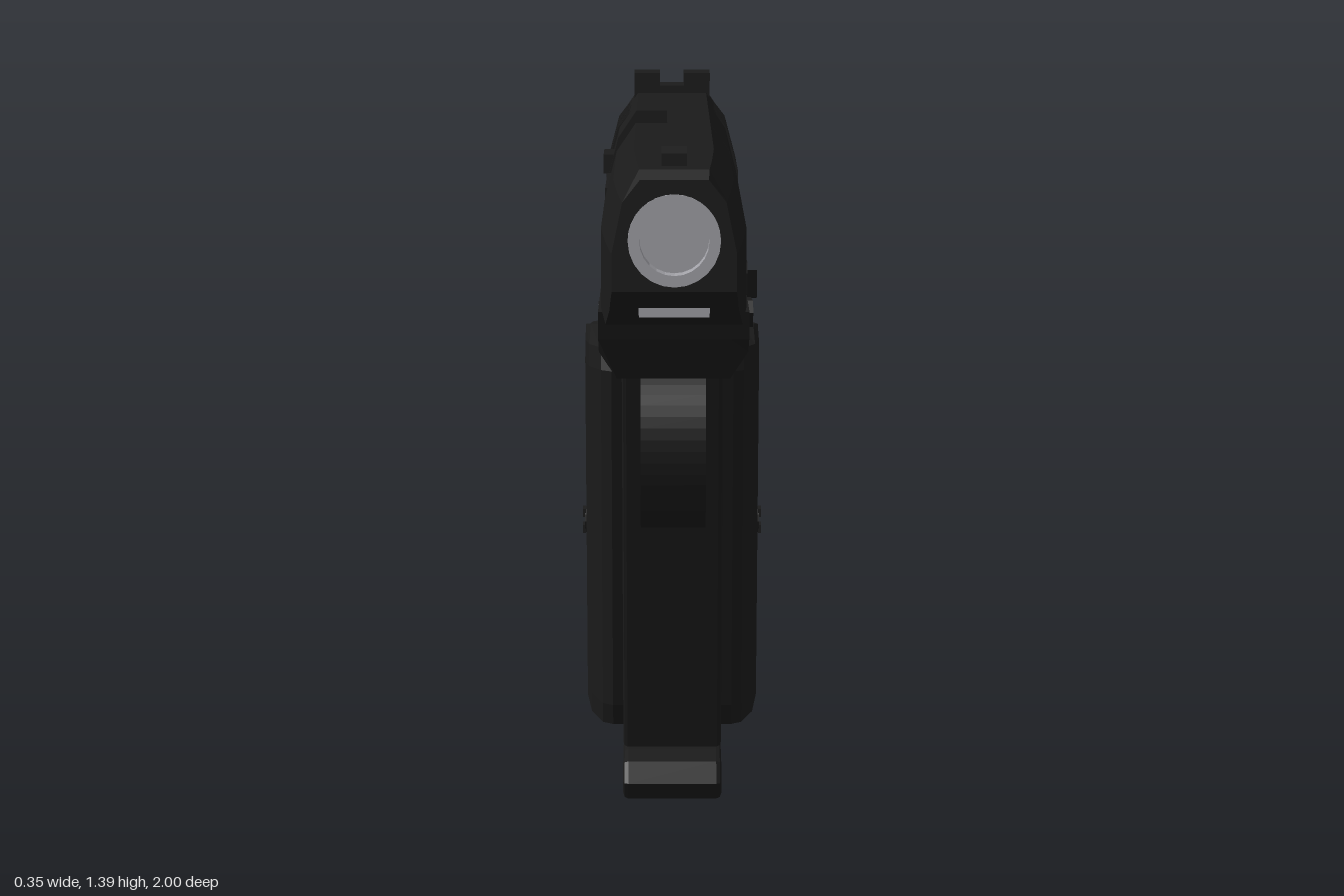
import * as THREE from 'three';

const mat = (name, color) => {
  const m = new THREE.MeshStandardMaterial({ color, flatShading: true });
  m.name = name;
  return m;
};

export function createModel() {
  const model = new THREE.Group();
  model.name = 'pistol';
  const black = mat('black metal', 0x1b1b1b);
  const steel = mat('bare steel', 0xa2a2a8);

  const add = (name, geo, m = black) => {
    const mesh = new THREE.Mesh(geo, m);
    mesh.name = name;
    model.add(mesh);
    return mesh;
  };
  const box = (name, sx, sy, sz, x, y, z) =>
    add(name, new THREE.BoxGeometry(sx, sy, sz)).position.set(x, y, z);
  const poly = pts => new THREE.Shape(pts.map(p => new THREE.Vector2(...p)));

  // side profile of [z, y] points, extruded between two x positions
  const side = (name, shape, x0, x1, bevel = 0) => {
    const geo = new THREE.ExtrudeGeometry(shape, {
      depth: x1 - x0 - 2 * bevel, curveSegments: 12, bevelEnabled: bevel > 0,
      bevelThickness: bevel, bevelSize: bevel, bevelOffset: -bevel, bevelSegments: 2,
    });
    geo.rotateY(-Math.PI / 2).translate(x1 - bevel, 0, 0);
    return add(name, geo);
  };

  // skin over convex counter-clockwise rings, with optional end cap
  const loft = (rings, capEnd = true) => {
    const n = rings[0].length, idx = [];
    for (let r = 0; r < rings.length - 1; r++)
      for (let i = 0; i < n; i++) {
        const j = (i + 1) % n, a = r * n, b = a + n;
        idx.push(a + i, a + j, b + j, a + i, b + j, b + i);
      }
    const last = (rings.length - 1) * n;
    for (let i = 1; i < n - 1; i++) {
      idx.push(0, i + 1, i);
      if (capEnd) idx.push(last, last + i, last + i + 1);
    }
    let geo = new THREE.BufferGeometry();
    geo.setAttribute('position', new THREE.Float32BufferAttribute(rings.flat(2), 3));
    geo.setIndex(idx);
    geo = geo.toNonIndexed();
    geo.computeVertexNormals();
    return geo;
  };

  // slide: rear block, port section and tapered nose
  const sec = (z, w, b, t) => [[-w, b], [w, b], [w, 1.22], [w * 0.83, 1.3], [w * 0.55, t],
    [-w * 0.55, t], [-w * 0.83, 1.3], [-w, 1.22]].map(p => [...p, z]);
  add('slideRear', loft([sec(-0.86, 0.112, 1.087, 1.32), sec(-0.81, 0.12, 1.087, 1.35),
    sec(-0.25, 0.12, 1.087, 1.35)]));
  const portShape = poly([[-0.12, 1.087], [0.12, 1.087], [0.12, 1.22], [0.1, 1.3], [0.066, 1.35],
    [-0.01, 1.35], [-0.01, 1.235], [-0.12, 1.235]]);
  add('slidePortSection', new THREE.ExtrudeGeometry(portShape, { depth: 0.3, bevelEnabled: false })
    .translate(0, 0, -0.25));
  const tip = sec(1, 0.098, 1.16, 1.335);
  add('slideNose', loft([sec(0.05, 0.12, 1.087, 1.35), sec(0.6, 0.12, 1.087, 1.35),
    sec(0.82, 0.11, 1.087, 1.35), sec(0.95, 0.102, 1.125, 1.35), sec(0.98, 0.1, 1.145, 1.35), tip],
  false));
  const face = poly(tip);
  face.holes.push(new THREE.Path().absarc(0, 1.24, 0.073, 0, Math.PI * 2, true));
  add('slideFace', new THREE.ShapeGeometry(face, 16).translate(0, 0, 1));
  box('slideRail', 0.12, 0.04, 0.28, 0, 1.085, -0.06);

  // raised grasping ribs at the rear of the slide
  for (let i = 0; i < 10; i++) {
    const z = -0.48 - i * 0.032;
    add('slideRib', loft([sec(z - 0.016, 0.124, 1.12, 1.345), sec(z, 0.124, 1.12, 1.345)]));
  }

  // barrel: muzzle crown with bore, and the chamber seen through the port
  const muzzle = [[0.073, -0.1], [0.073, 0], [0.055, 0], [0.055, -0.04], [0, -0.04]]
    .map(p => new THREE.Vector2(...p));
  add('muzzle', new THREE.LatheGeometry(muzzle, 24).rotateX(Math.PI / 2), steel)
    .position.set(0, 1.24, 1);
  add('chamber', new THREE.CylinderGeometry(0.1, 0.1, 0.27, 10).rotateX(Math.PI / 2), steel)
    .position.set(0, 1.215, -0.085);
  // recoil guide: small forward-facing steps up the sloped underside of the nose
  for (let i = 0; i < 4; i++) {
    const y = 1.1125 + i * 0.005;
    const z = y < 1.1225 ? 0.82 + (y - 1.0845) * 3.42 : 0.95 + (y - 1.1225) * 1.5;
    add('recoilGuide', new THREE.PlaneGeometry(0.112, 0.005), steel).position.set(0, y, z);
  }
  box('extractor', 0.02, 0.035, 0.12, -0.117, 1.25, -0.33);

  // sights
  box('rearSightBase', 0.146, 0.025, 0.1, 0, 1.352, -0.75);
  for (const s of [-1, 1]) box('rearSightPost', 0.05, 0.03, 0.1, s * 0.048, 1.374, -0.75);
  side('frontSight', poly([[0.92, 1.34], [0.92, 1.37], [0.9, 1.38], [0.84, 1.355], [0.84, 1.34]]),
    -0.02, 0.02);

  // frame: full-width rail body that narrows underneath
  const rail = (x, low) => [[0.62, 1.083], [-0.87, 1.083], [-0.965, 1.02], [-0.995, 0.965],
    [-0.955, 0.92 + low], [-0.3, 0.935 + low], [0.53, 0.96 + low], [0.605, 1.035]]
    .map(([z, y]) => [x, y, z]);
  add('frame', loft([rail(0.125, 0.045), rail(0.095, 0), rail(-0.095, 0), rail(-0.125, 0.045)]));
  side('gripCore', poly([[-0.3, 0.96], [-0.55, 0.09], [-0.92, 0.09], [-0.965, 0.13], [-1, 0.2],
    [-0.965, 0.6], [-0.95, 0.83], [-0.96, 0.96]]), -0.095, 0.095, 0.008);

  // grip panels in one body; the third value is how far a point follows the swept-back front
  const outline = [[-0.375, 0.85, 1], [-0.395, 0.89, 1], [-0.62, 0.908, 0.5], [-0.935, 0.88, 0],
    [-0.95, 0.7, 0], [-0.985, 0.2, 0], [-0.965, 0.127, 0], [-0.585, 0.127, 1], [-0.56, 0.17, 1]];
  const panel = (x, sweep, rim) => outline.map(([z, y, f]) =>
    [x, 0.52 + (y - 0.52) * (1 - rim), -0.76 + (z + 0.76) * (1 - rim) - f * sweep]);
  const layers = [[0.168, 0.22, 0.03], [0.158, 0.1, 0.01], [0.135, 0.02, 0], [0.115, 0, 0]];
  add('gripPanels', loft([...layers.map(([x, s, r]) => panel(x, s, r)),
    ...layers.map(([x, s, r]) => panel(-x, s, r)).reverse()]));
  for (const s of [-1, 1]) {
    add('gripScrew', new THREE.CylinderGeometry(0.026, 0.026, 0.012, 12).rotateZ(Math.PI / 2))
      .position.set(s * 0.166, 0.505, -0.75);
    for (const d of [-1, 1]) box('screwHead', 0.006, 0.016, 0.04, s * 0.173, 0.505 + d * 0.016, -0.75);
  }

  // magazine floor and heel catch
  box('magazineNeck', 0.16, 0.05, 0.32, 0, 0.085, -0.74);
  side('magazineFloor', poly([[-0.465, 0.035], [-0.49, 0], [-0.89, 0.005], [-0.905, 0.04],
    [-0.895, 0.087], [-0.54, 0.087], [-0.485, 0.075]]), -0.095, 0.095, 0.01);
  side('heelCatch', poly([[-0.91, 0.11], [-0.925, 0.03], [-0.95, 0.01], [-0.995, 0.035],
    [-0.965, 0.12]]), -0.045, 0.045);

  // trigger guard and trigger
  const guard = new THREE.Shape();
  guard.moveTo(0.13, 0.955);
  guard.absarc(0.13, 0.798, 0.157, Math.PI / 2, -Math.PI / 2, true);
  [[-0.23, 0.641], [-0.37, 0.67], [-0.38, 0.72], [-0.3, 0.955]].forEach(p => guard.lineTo(...p));
  const gap = new THREE.Path();
  gap.absarc(0.13, 0.81, 0.124, -Math.PI / 2, Math.PI / 2, false);
  [[-0.285, 0.934], [-0.305, 0.8], [-0.31, 0.72], [-0.22, 0.686]].forEach(p => gap.lineTo(...p));
  guard.holes.push(gap);
  side('triggerGuard', guard, -0.057, 0.057);
  side('trigger', poly([[0.005, 0.95], [-0.018, 0.88], [-0.02, 0.8], [-0.005, 0.735], [-0.035, 0.73],
    [-0.055, 0.8], [-0.06, 0.88], [-0.065, 0.95]]), -0.03, 0.03);

  // hammer with spur
  side('hammer', poly([[-0.83, 1.07], [-0.83, 1.27], [-0.885, 1.275], [-0.94, 1.24], [-0.925, 1.225],
    [-0.935, 1.205], [-0.9, 1.19], [-0.865, 1.17], [-0.865, 1.07]]), -0.035, 0.035);

  // controls on the left side and the pin end on the right
  side('slideStop', poly([[0.2, 1.03], [0.18, 1.05], [0.13, 1.045], [0.0, 1.035], [-0.02, 1.015],
    [0, 0.998], [0.17, 1.002]]), 0.11, 0.14);
  side('safetyLever', poly([[-0.42, 1.03], [-0.45, 1.048], [-0.66, 1.04], [-0.76, 1.0], [-0.775, 0.965],
    [-0.75, 0.945], [-0.68, 0.955], [-0.62, 0.975], [-0.43, 0.99]]), 0.1, 0.142);
  side('safetyThumbPad', poly([[-0.66, 1.01], [-0.76, 0.995], [-0.775, 0.965], [-0.75, 0.945],
    [-0.68, 0.955]]), 0.13, 0.165);
  add('slideStopPin', new THREE.CylinderGeometry(0.026, 0.026, 0.25, 12).rotateZ(Math.PI / 2))
    .position.set(-0.006, 1.02, 0.155);
  return model;
}
